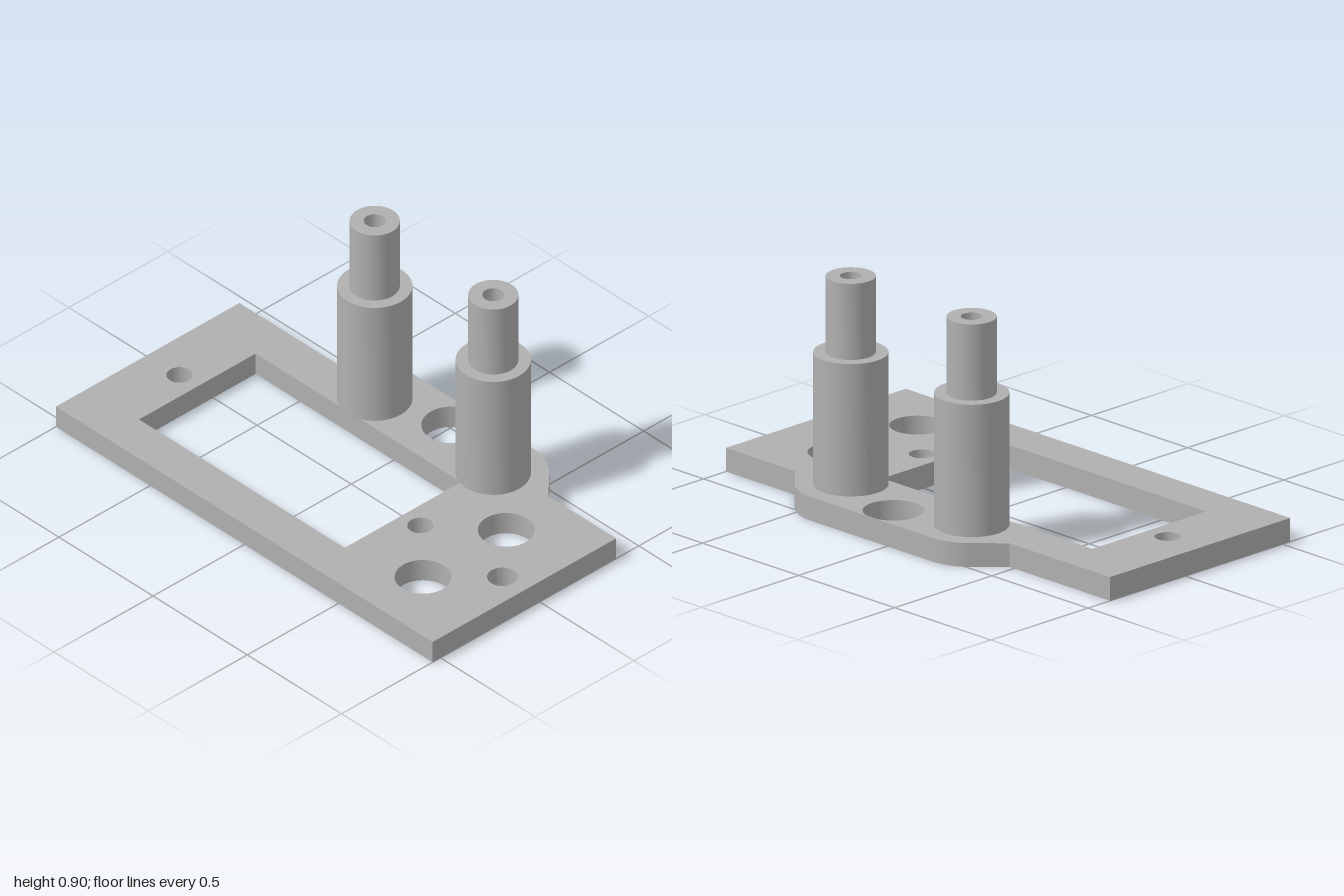
import * as THREE from 'three';
import { toCreasedNormals } from 'three/addons/utils/BufferGeometryUtils.js';

const PLATE_TOP = 0.092;
const POST_X = [-0.233, 0.396];
const POST_Z = -0.34;

// Plate outline, drawn from above with shape y = -z
function plateShape() {
  const s = new THREE.Shape();
  const r = 0.205, cy = -POST_Z, shoulder = 0.386;
  const run = 0.477 - 0.233; // ramp foot to post centre
  s.moveTo(-1, -0.54);
  s.lineTo(1, -0.54);
  s.lineTo(1, shoulder);
  s.lineTo(POST_X[1] + run, shoulder);
  // rear tab: 45 degree ramps, rounded around each post
  s.absarc(POST_X[1], cy, r, Math.PI / 4, Math.PI / 2, false);
  s.absarc(POST_X[0], cy, r, Math.PI / 2, Math.PI * 0.75, false);
  s.lineTo(POST_X[0] - run, shoulder);
  s.lineTo(-1, shoulder);
  s.closePath();

  // rectangular window
  const win = new THREE.Path();
  win.moveTo(-0.733, -0.374);
  win.lineTo(-0.733, 0.214);
  win.lineTo(0.358, 0.214);
  win.lineTo(0.358, -0.374);
  win.closePath();
  s.holes.push(win);

  // round holes: x, z, radius
  const holes = [
    [0.08, -0.433, 0.113],
    [0.685, -0.131, 0.104],
    [0.685, 0.289, 0.104],
    [-0.83, 0.078, 0.048],
    [0.449, 0.078, 0.048],
    [0.885, 0.078, 0.057],
  ];
  for (const [x, z, radius] of holes) {
    const h = new THREE.Path();
    h.absarc(x, -z, radius, 0, Math.PI * 2, true);
    s.holes.push(h);
  }
  return s;
}

export function createModel() {
  const model = new THREE.Group();
  model.name = 'mountingBracket';
  const grey = new THREE.MeshStandardMaterial({ color: 0xb0b0b0 });
  grey.name = 'grey';

  // Base plate
  const plateGeo = new THREE.ExtrudeGeometry(plateShape(), {
    depth: PLATE_TOP, bevelEnabled: false, curveSegments: 24,
  });
  plateGeo.rotateX(-Math.PI / 2);
  const plate = new THREE.Mesh(toCreasedNormals(plateGeo, 0.6), grey);
  plate.name = 'basePlate';
  model.add(plate);

  // Stepped posts with a blind screw hole in the top
  const profile = [
    [0, PLATE_TOP], [0.138, PLATE_TOP], [0.138, 0.605], [0.092, 0.605],
    [0.092, 0.9], [0.04, 0.9], [0.04, 0.6], [0, 0.6],
  ].map(([r, y]) => new THREE.Vector2(r, y));
  const postGeo = toCreasedNormals(new THREE.LatheGeometry(profile, 48), 0.6);
  POST_X.forEach((x, i) => {
    const post = new THREE.Mesh(postGeo, grey);
    post.name = i ? 'leftPost' : 'rightPost';
    post.position.set(x, 0, POST_Z);
    model.add(post);
  });
  return model;
}
